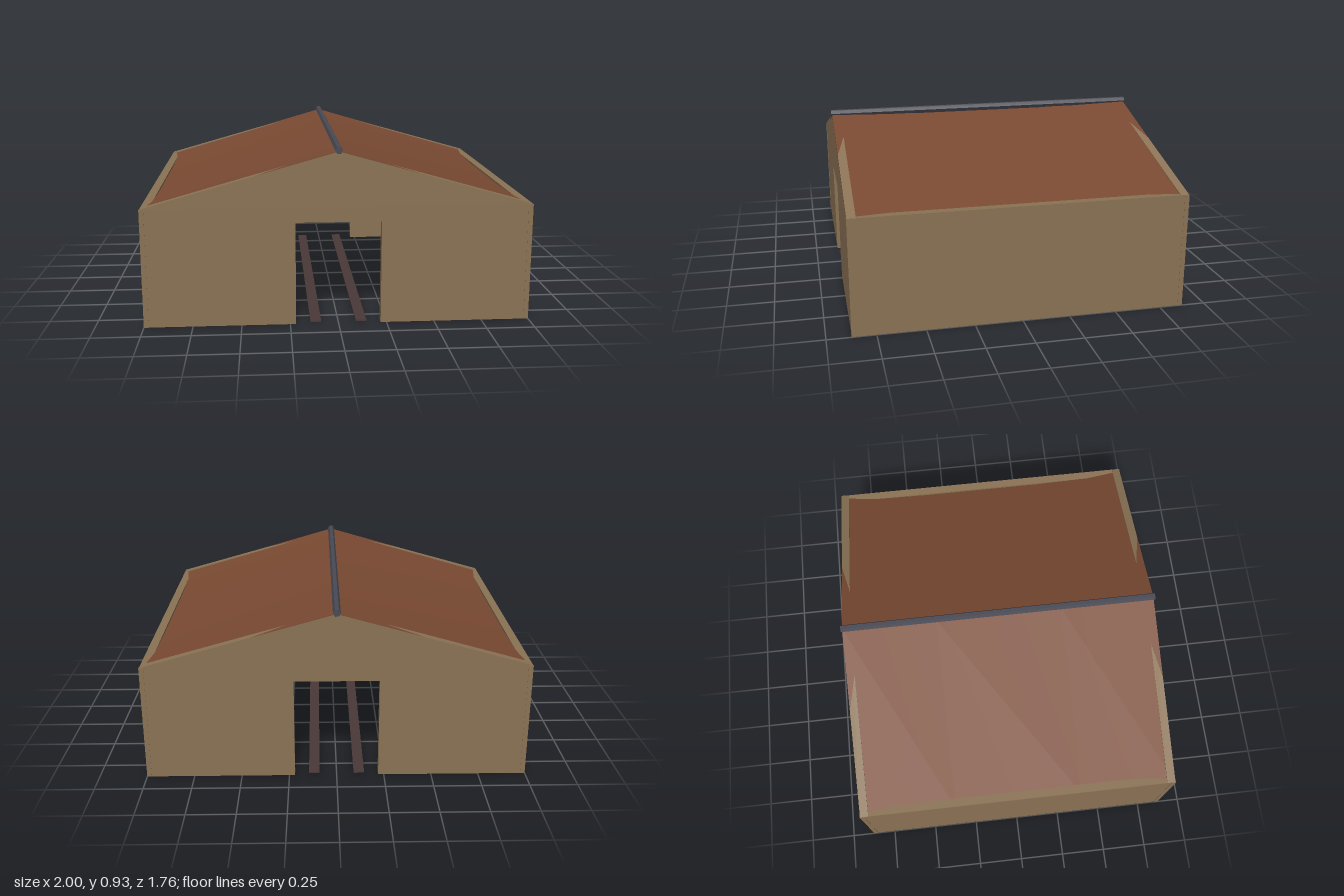
import * as THREE from 'three';

const HALF_X = 0.998, HALF_Z = 0.873, EAVE = 0.62, APEX = 0.902, WALL = 0.045;

function extruded(points, depth) {
  const shape = new THREE.Shape(points.map(([x, y]) => new THREE.Vector2(x, y)));
  return new THREE.ExtrudeGeometry(shape, { depth, bevelEnabled: false });
}

// One roof slope: a thin slab from ridge to eave that sags between the gables
function slopeGeometry(side) {
  const geo = new THREE.BoxGeometry(1, 0.015, HALF_Z * 2, 1, 1, 3);
  const p = geo.attributes.position;
  for (let i = 0; i < p.count; i++) {
    const t = p.getX(i) + 0.5;
    const run = side > 0 ? t : 1 - t;
    const middle = Math.abs(p.getZ(i)) < 0.5;
    const y = THREE.MathUtils.lerp(0.906, 0.615, run) - (middle ? 0.02 : 0);
    p.setXYZ(i, side * run * 0.9975, y + p.getY(i) - 0.0075,
      middle ? Math.sign(p.getZ(i)) * 0.35 : p.getZ(i));
  }
  geo.computeVertexNormals();
  return geo;
}

export function createModel() {
  const material = (name, color) => {
    const m = new THREE.MeshStandardMaterial({ color });
    m.name = name;
    return m;
  };
  const wood = material('wall wood', 0x8b7355);
  const roofing = material('rusty roof', 0x7a4a32);
  const metal = material('ridge metal', 0x4a4a55);
  const railColor = material('dark rail', 0x4a3838);

  const group = new THREE.Group();
  group.name = 'shed';
  const add = (name, geo, mat, x = 0, y = 0, z = 0) => {
    const mesh = new THREE.Mesh(geo, mat);
    mesh.name = name;
    mesh.position.set(x, y, z);
    group.add(mesh);
    return mesh;
  };

  // End walls with a doorway, and the gables above them
  const wallGeo = extruded([
    [-HALF_X, 0], [-0.22, 0], [-0.22, 0.54], [0.22, 0.54],
    [0.22, 0], [HALF_X, 0], [HALF_X, EAVE], [-HALF_X, EAVE],
  ], WALL);
  const gableGeo = extruded([[-HALF_X, EAVE], [HALF_X, EAVE], [0, APEX]], WALL);
  for (const [end, z] of [['front', HALF_Z - WALL], ['back', -HALF_Z]]) {
    add(end + 'Wall', wallGeo, wood, 0, 0, z);
    add(end + 'Gable', gableGeo, wood, 0, 0, z);
  }

  // Side walls, roof slopes and floor rails, mirrored
  for (const [name, s] of [['left', 1], ['right', -1]]) {
    add(name + 'Wall', new THREE.BoxGeometry(WALL, EAVE, (HALF_Z - WALL) * 2), wood,
      s * (HALF_X - WALL / 2), EAVE / 2, 0);
    add(name + 'RoofSlope', slopeGeometry(s), roofing);
    add(name + 'Rail', new THREE.BoxGeometry(0.056, 0.007, 1.73), railColor, s * 0.118, 0.009, 0);

    // Corner posts standing slightly proud of the walls
    for (const [end, e] of [['Front', 1], ['Back', -1]])
      add(name + end + 'Post', new THREE.BoxGeometry(0.024, EAVE - 0.002, 0.024), wood,
        s * 0.988, EAVE / 2 - 0.001, e * 0.863);
  }

  // Ridge pole along the top of the roof
  const ridge = new THREE.CylinderGeometry(0.02, 0.02, 1.76, 6).toNonIndexed();
  ridge.rotateX(Math.PI / 2);
  ridge.rotateZ(Math.PI / 6);
  ridge.computeVertexNormals();
  add('ridgePole', ridge, metal, 0, 0.908, 0);

  return group;
}
